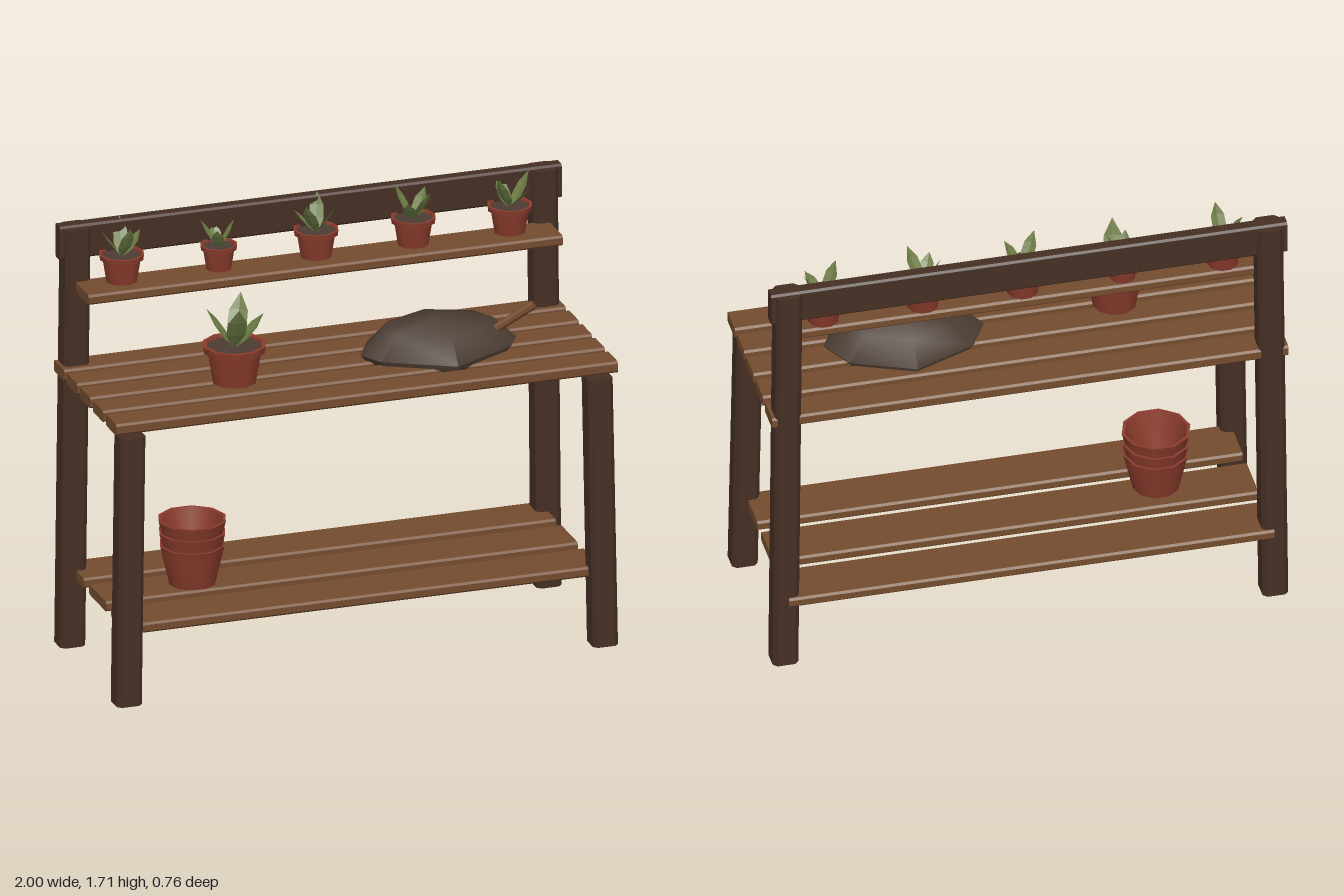
import * as THREE from 'three';
import { toCreasedNormals } from 'three/addons/utils/BufferGeometryUtils.js';

const mat = (color, extra = {}) => new THREE.MeshStandardMaterial({ color, ...extra });
const darkWood = mat(0x452f24, { flatShading: true });
const slatWood = mat(0x744c2e, { flatShading: true });
const terracotta = mat(0x8a3b2c, { side: THREE.DoubleSide });
const soil = mat(0x4b3d33);
const leafGreen = mat(0x6c7c45, { flatShading: true, side: THREE.DoubleSide });

const PLANT = [ // leaf tips relative to the plant base: x, y, z
  [-0.095, 0.15, -0.045],
  [-0.015, 0.185, 0.1],
  [0.115, 0.125, 0.005],
  [0.06, 0.18, -0.1],
];

export function createModel() {
  const root = new THREE.Group();

  function add(name, geometry, material, parent = root) {
    const mesh = new THREE.Mesh(geometry, material);
    mesh.name = name;
    parent.add(mesh);
    return mesh;
  }

  // Rectangle with chamfered corners, extruded along z from 0 to length
  function chamferedBar(w, h, length, c) {
    const a = w / 2, b = h / 2;
    const shape = new THREE.Shape([
      [a - c, -b], [a, -b + c], [a, b - c], [a - c, b],
      [-a + c, b], [-a, b - c], [-a, -b + c], [-a + c, -b],
    ].map(([x, y]) => new THREE.Vector2(x, y)));
    return new THREE.ExtrudeGeometry(shape, { depth: length, bevelEnabled: false });
  }

  // Board lying along x, given by its limits in y and z
  function board(name, halfX, y0, y1, z0, z1, material) {
    const g = chamferedBar(z1 - z0, y1 - y0, halfX * 2, 0.008);
    g.translate(0, 0, -halfX).rotateY(Math.PI / 2);
    add(name, g, material).position.set(0, (y0 + y1) / 2, (z0 + z1) / 2);
  }

  // Legs lean slightly inward
  function leg(name, side, z, height) {
    const g = chamferedBar(0.1, 0.1, height, 0.016);
    g.rotateX(-Math.PI / 2);
    const p = g.attributes.position;
    for (let i = 0; i < p.count; i++) {
      const t = p.getY(i) / height;
      p.setX(i, p.getX(i) + side * (0.949 - 0.018 * t));
      p.setZ(i, p.getZ(i) + z - Math.sign(z) * 0.01 * t);
    }
    g.computeVertexNormals();
    add(name, g, darkWood);
  }
  for (const side of [-1, 1]) {
    const label = side > 0 ? 'left' : 'right';
    leg(label + 'FrontLeg', side, 0.33, 1.078);
    leg(label + 'BackPost', side, -0.32, 1.69);
  }
  board('backRail', 1, 1.565, 1.7, -0.338, -0.283, darkWood);

  // Worktop, lower shelf and upper shelf
  for (let i = 0; i < 5; i++) {
    const z = 0.303 - i * 0.1495;
    board('worktopSlat', 1, 1.095, 1.14, z - 0.061, z + 0.061, slatWood);
  }
  for (const z of [0.23, -0.025, -0.28]) {
    board('lowerShelfSlat', 0.94, 0.27, 0.31, z - 0.1, z + 0.1, slatWood);
  }
  board('upperShelf', 0.945, 1.44, 1.48, -0.285, -0.112, slatWood);

  // Ten-sided turned pot with a corner on the x axis
  function turned(parent, profile) {
    const g = new THREE.LatheGeometry(profile.map(([x, y]) => new THREE.Vector2(x, y)), 10);
    g.rotateY(Math.PI / 2);
    return add('pot', toCreasedNormals(g, 0.75), terracotta, parent);
  }

  // Folded pointed leaf growing from the origin to a tip
  function leafGeometry([x, y, z]) {
    const side = new THREE.Vector3(z, 0, -x).normalize();
    const out = new THREE.Vector3(x, 0, z).normalize();
    const widths = [0.008, 0.038, 0.036, 0];
    const pos = [], index = [];
    widths.forEach((w, i) => {
      const t = i / 3;
      const spine = new THREE.Vector3(x * t, y * t, z * t).addScaledVector(out, Math.sin(t * Math.PI) * 0.012);
      for (const s of [-1, 0, 1]) {
        const v = spine.clone().addScaledVector(side, s * w).addScaledVector(out, -Math.abs(s) * w * 0.25);
        pos.push(v.x, v.y, v.z);
      }
      if (i < 3) for (const k of [0, 1]) {
        const a = i * 3 + k;
        index.push(a, a + 1, a + 4, a, a + 4, a + 3);
      }
    });
    const g = new THREE.BufferGeometry();
    g.setAttribute('position', new THREE.Float32BufferAttribute(pos, 3));
    g.setIndex(index);
    g.computeVertexNormals();
    return g;
  }

  // Rimmed pot with soil and four leaves
  function pottedPlant(name, x, y, z, r, h, leafScale, turn) {
    const group = new THREE.Group();
    group.name = name;
    group.position.set(x, y, z);
    const rimY = h * 0.82;
    turned(group, [
      [0, 0], [r * 0.68, 0], [r * 0.85, rimY], [r * 0.97, rimY], [r, h], [r * 0.87, h], [r * 0.8, rimY],
    ]);
    const top = new THREE.CylinderGeometry(r * 0.84, r * 0.81, 0.01, 10);
    top.rotateY(Math.PI / 2);
    add('pottingSoil', top, soil, group).position.y = h - 0.014;
    const plant = new THREE.Group();
    plant.name = 'plant';
    plant.position.y = h - 0.014;
    plant.rotation.y = turn;
    plant.scale.setScalar(leafScale);
    PLANT.forEach(tip => add('leaf', leafGeometry(tip), leafGreen, plant));
    group.add(plant);
    root.add(group);
  }
  pottedPlant('largePottedPlant', -0.43, 1.14, 0.075, 0.124, 0.15, 1, 0);
  [-0.775, -0.388, 0, 0.387, 0.772].forEach((x, i) => {
    const s = i === 1 ? 0.82 : 1;
    pottedPlant('smallPottedPlant', x, 1.48, -0.226, 0.088 * s, i === 1 ? 0.097 : 0.11, 0.73 * s, 0.3 + i * 1.3);
  });

  // Stack of nested, empty, plain tapered pots
  const stack = new THREE.Group();
  stack.name = 'potStack';
  stack.position.set(-0.573, 0.318, 0.002);
  root.add(stack);
  for (let i = 0; i < 3; i++) {
    const r = 0.127 + i * 0.003;
    turned(stack, [[0, 0], [0.09, 0], [r, 0.158], [r - 0.012, 0.158], [0.08, 0.015], [0, 0.015]])
      .position.y = i * 0.05;
  }

  // Heap of soil: irregular plan outline scaled by rings
  const outline = [[0.31, 0], [0.26, 0.09], [0, 0.23], [-0.26, 0.09], [-0.312, 0], [-0.24, -0.13], [0, -0.23], [0.24, -0.13]];
  const rings = [[0, 0.125], [0.71, 0.088], [1, 0], [0.79, -0.073], [0.35, -0.122], [0, -0.128]];
  const pos = [], index = [];
  rings.forEach(([s, y], j) => {
    outline.forEach(([x, z], i) => {
      pos.push(x * s, y, z * s);
      if (j === rings.length - 1) return;
      const a = j * 8 + i, b = j * 8 + (i + 1) % 8;
      index.push(a, b, a + 8, b, b + 8, a + 8);
    });
  });
  const heap = new THREE.BufferGeometry();
  heap.setAttribute('position', new THREE.Float32BufferAttribute(pos, 3));
  heap.setIndex(index);
  add('soilHeap', toCreasedNormals(heap, 1.2), soil).position.set(0.398, 1.16, 0.033);

  // Trowel handle stuck in the heap
  const from = new THREE.Vector3(0.57, 1.195, 0.072), to = new THREE.Vector3(0.742, 1.322, 0.138);
  const dir = to.clone().sub(from);
  const handle = add('trowelHandle', new THREE.CylinderGeometry(0.018, 0.016, dir.length(), 8), slatWood);
  handle.position.copy(from).add(to).multiplyScalar(0.5);
  handle.quaternion.setFromUnitVectors(new THREE.Vector3(0, 1, 0), dir.normalize());

  return root;
}
